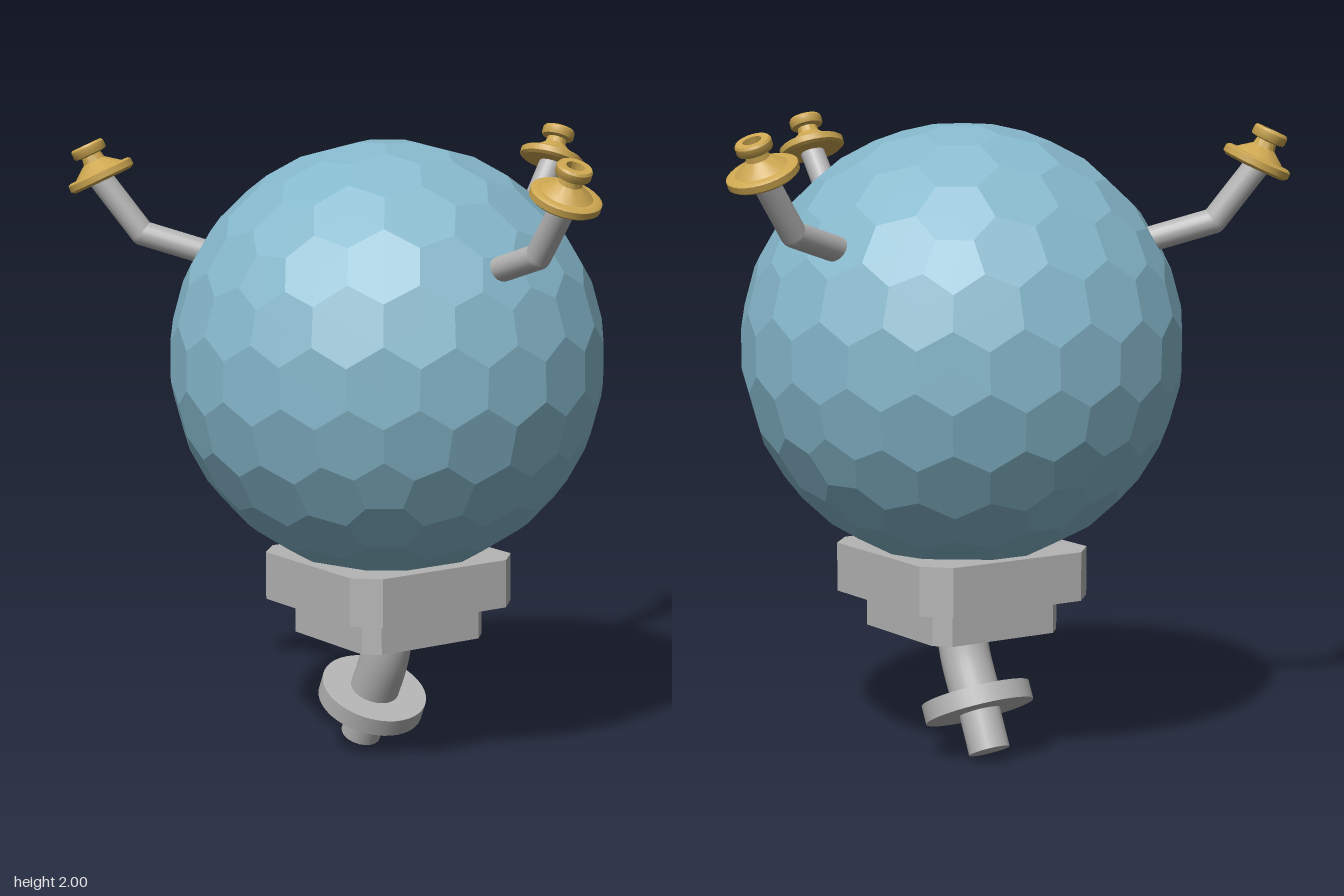
import * as THREE from 'three';
import { toCreasedNormals } from 'three/addons/utils/BufferGeometryUtils.js';

const blue = new THREE.MeshStandardMaterial({ name: 'blue shell', color: 0x86b8cc });
const grey = new THREE.MeshStandardMaterial({ name: 'grey metal', color: 0xb4b4b4 });
const gold = new THREE.MeshStandardMaterial({ name: 'gold brass', color: 0xcca650 });

const V = (x, y, z = 0) => new THREE.Vector3(x, y, z);

function add(parent, name, geometry, material) {
  const mesh = new THREE.Mesh(geometry, material);
  mesh.name = name;
  parent.add(mesh);
  return mesh;
}

// Cylinder between two points
function rod(parent, name, a, b, radius, material) {
  const dir = b.clone().sub(a);
  const mesh = add(parent, name, new THREE.CylinderGeometry(radius, radius, dir.length(), 20), material);
  mesh.position.copy(a).lerp(b, 0.5);
  mesh.quaternion.setFromUnitVectors(V(0, 1), dir.normalize());
  return mesh;
}

// Ball of hexagons and pentagons: the dual of a subdivided icosahedron
function facetedBall(radius) {
  const ico = new THREE.IcosahedronGeometry(1, 3);
  ico.rotateZ(-Math.atan(2 / (1 + Math.sqrt(5)))); // a pentagon faces straight up
  const p = ico.attributes.position;
  const cells = new Map();
  for (let i = 0; i < p.count; i += 3) {
    const tri = [0, 1, 2].map((k) => new THREE.Vector3().fromBufferAttribute(p, i + k));
    const centre = tri[0].clone().add(tri[1]).add(tri[2]).setLength(radius);
    for (const v of tri) {
      const key = v.toArray().map((c) => Math.round(c * 1000) + 0).join();
      if (!cells.has(key)) cells.set(key, { normal: v.clone().normalize(), corners: [] });
      cells.get(key).corners.push(centre);
    }
  }
  const positions = [], normals = [];
  for (const { normal, corners } of cells.values()) {
    const u = V(0.31, 0.52, 0.79).cross(normal).normalize();
    const w = normal.clone().cross(u);
    const angle = (c) => Math.atan2(c.dot(w), c.dot(u));
    corners.sort((a, b) => angle(a) - angle(b));
    const mid = corners.reduce((s, c) => s.add(c), V(0, 0)).divideScalar(corners.length);
    corners.forEach((c, i) => {
      for (const q of [mid, c, corners[(i + 1) % corners.length]]) {
        positions.push(q.x, q.y, q.z);
        normals.push(normal.x, normal.y, normal.z);
      }
    });
  }
  const g = new THREE.BufferGeometry();
  g.setAttribute('position', new THREE.Float32BufferAttribute(positions, 3));
  g.setAttribute('normal', new THREE.Float32BufferAttribute(normals, 3));
  return g;
}

// Square block with cut corners, standing on y = 0
function cutBlock(half, cut, height) {
  const k = half - cut;
  const corners = [[half, -k], [half, k], [k, half], [-k, half], [-half, k], [-half, -k], [-k, -half], [k, -half]];
  const shape = new THREE.Shape(corners.map(([x, y]) => new THREE.Vector2(x, y)));
  return new THREE.ExtrudeGeometry(shape, { depth: height, bevelEnabled: false }).rotateX(-Math.PI / 2);
}

// Brass valve: flange, cone, neck and a hollow knob
function valveGeometry() {
  const profile = [
    [0, 0], [0.098, 0], [0.109, 0.008], [0.109, 0.028], [0.1, 0.034], [0.08, 0.034], [0.07, 0.042],
    [0.036, 0.068], [0.032, 0.088], [0.052, 0.092], [0.055, 0.098], [0.055, 0.118], [0.05, 0.125],
    [0.028, 0.125], [0.026, 0.085], [0, 0.085],
  ].map(([r, y]) => new THREE.Vector2(r, y));
  return toCreasedNormals(new THREE.LatheGeometry(profile, 28), 0.6);
}

function createArm(angle) {
  const arm = new THREE.Group();
  arm.name = 'arm';
  const root = V(0.53, 1.625), elbow = V(0.78, 1.7), tip = V(0.915, 1.878);
  rod(arm, 'lowerArmRod', root, elbow, 0.04, grey);
  rod(arm, 'upperArmRod', elbow, tip, 0.04, grey);
  add(arm, 'armElbow', new THREE.SphereGeometry(0.04, 20, 12), grey).position.copy(elbow);
  const valve = add(arm, 'valve', valveGeometry(), gold);
  valve.position.set(0.902, 1.867, 0);
  valve.rotation.z = THREE.MathUtils.degToRad(-25);
  arm.rotation.y = THREE.MathUtils.degToRad(angle);
  return arm;
}

export function createModel() {
  const model = new THREE.Group();
  model.name = 'facetedTank';
  const body = new THREE.Group();
  body.name = 'body';
  body.position.set(-0.165, 0, 0.083);
  model.add(body);

  add(body, 'ball', facetedBall(0.695), blue).position.y = 1.305;
  for (const angle of [0, 107, -128.6]) body.add(createArm(angle));

  // Stepped base
  add(body, 'upperBase', cutBlock(0.315, 0.075, 0.155), grey).position.y = 0.513;
  add(body, 'lowerBase', cutBlock(0.235, 0.045, 0.12), grey).position.y = 0.402;

  // Bent outlet pipe with its flange and end stub
  const flange = V(-0.093, 0.173);
  const bend = new THREE.CatmullRomCurve3([V(0, 0.46), V(-0.003, 0.39), V(-0.025, 0.31), flange]);
  add(body, 'outletPipe', new THREE.TubeGeometry(bend, 16, 0.08, 24), grey);
  const axis = V(-0.43, -0.903);
  const along = (d) => flange.clone().addScaledVector(axis, d);
  const disc = rod(body, 'outletFlange', along(-0.03), along(0.03), 0.175, grey);
  disc.geometry = new THREE.CylinderGeometry(0.175, 0.175, 0.06, 40);
  rod(body, 'outletStub', along(0), along(0.158), 0.066, grey);

  return model;
}
